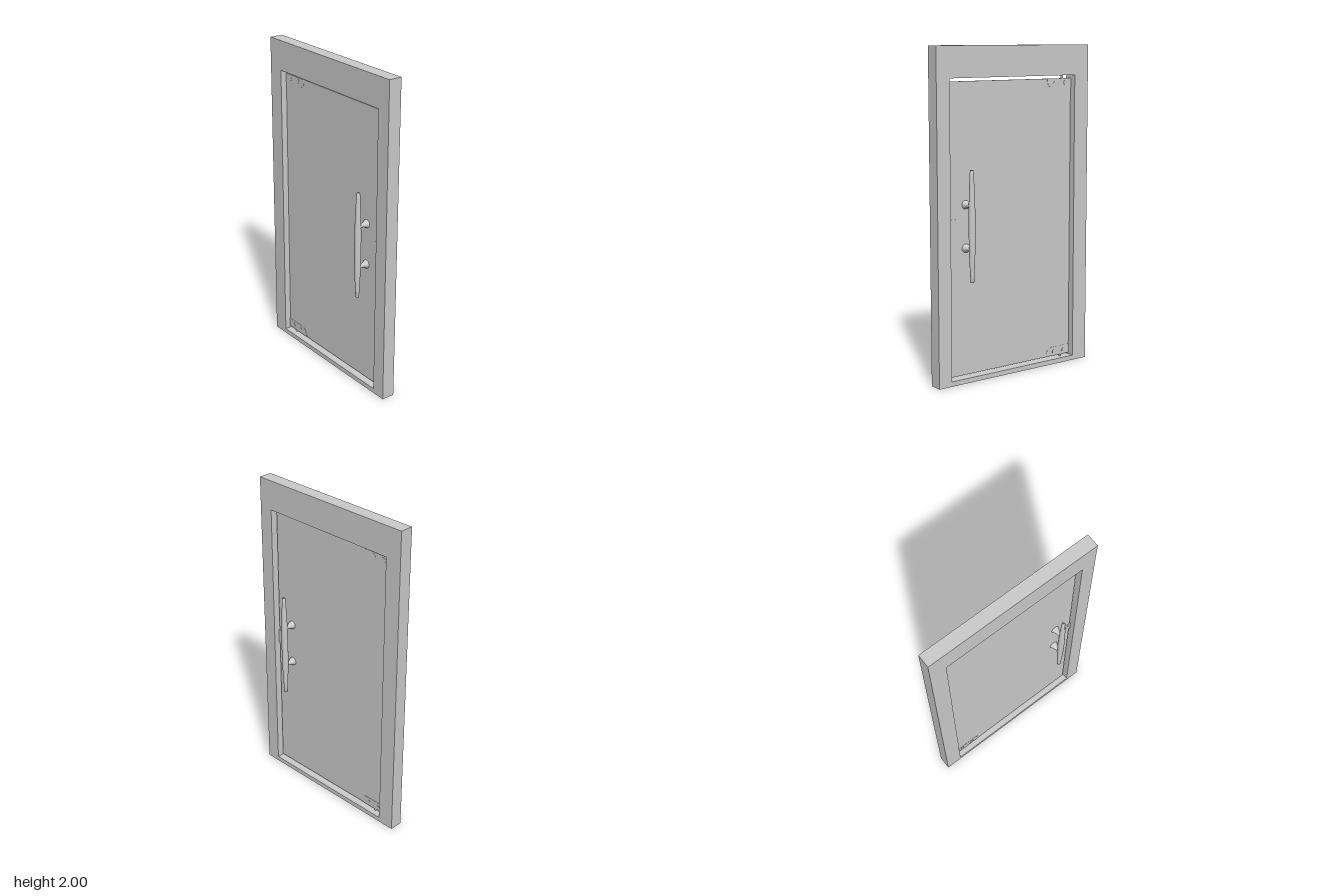
import * as THREE from 'three';

const material = new THREE.MeshStandardMaterial({ color: 0xcccccc, roughness: 0.6 });

function addMesh(parent, name, geometry) {
  const mesh = new THREE.Mesh(geometry, material);
  mesh.name = name;
  parent.add(mesh);
  return mesh;
}

// Outline drawn in (z, y), given thickness across x
function plate(shape, thickness) {
  const geometry = new THREE.ExtrudeGeometry(shape, { depth: thickness, bevelEnabled: false, curveSegments: 10 });
  geometry.translate(0, 0, -thickness / 2);
  return geometry.rotateY(-Math.PI / 2);
}

function rectangle(z0, z1, y0, y1, Type = THREE.Shape) {
  return new Type([[z0, y0], [z1, y0], [z1, y1], [z0, y1]].map(([z, y]) => new THREE.Vector2(z, y)));
}

// Round screw head passing through a fitting, seen on both faces
function addScrew(parent, z, y, radius) {
  const screw = addMesh(parent, 'screw', new THREE.CylinderGeometry(radius, radius, 0.019, 20));
  screw.rotation.z = Math.PI / 2;
  screw.position.set(0, y, z);
}

// Corner hinge with one rounded corner; edge is the glass edge, dir points into the pane
function addHinge(parent, name, edge, dir) {
  const hinge = new THREE.Group();
  hinge.name = name;
  const shape = new THREE.Shape();
  shape.moveTo(-0.452, edge);
  shape.lineTo(-0.265, edge);
  shape.lineTo(-0.265, edge + dir * 0.012);
  shape.quadraticCurveTo(-0.27, edge + dir * 0.05, -0.31, edge + dir * 0.057);
  shape.lineTo(-0.452, edge + dir * 0.057);
  addMesh(hinge, 'hingePlate', plate(shape, 0.016));
  for (const z of [-0.33, -0.408]) addScrew(hinge, z, edge + dir * 0.024, 0.015);
  const pivot = addMesh(hinge, 'pivotPin', new THREE.CylinderGeometry(0.007, 0.007, 0.03, 16));
  pivot.position.set(0, edge - dir * 0.01, -0.385);
  parent.add(hinge);
}

// Tapered vertical bar on two flared standoffs
function addHandle(parent, name, side) {
  const handle = new THREE.Group();
  handle.name = name;
  const taper = [[0, -0.333], [0.011, -0.333], [0.0125, -0.29], [0.017, -0.2], [0.0195, -0.1], [0.0205, 0],
    [0.0195, 0.1], [0.017, 0.2], [0.0125, 0.29], [0.011, 0.333], [0, 0.333]];
  const bar = addMesh(handle, 'handleBar', new THREE.LatheGeometry(taper.map(p => new THREE.Vector2(...p)), 28));
  bar.position.set(side * 0.073, 0.952, 0.343);
  const flare = [[0.026, 0], [0.026, 0.006], [0.02, 0.016], [0.014, 0.028], [0.012, 0.04], [0.012, 0.066]];
  for (const y of [0.815, 1.075]) {
    const post = addMesh(handle, 'standoff', new THREE.LatheGeometry(flare.map(p => new THREE.Vector2(...p)), 24));
    post.rotation.z = -side * Math.PI / 2;
    post.position.set(side * 0.005, y, 0.343);
  }
  parent.add(handle);
}

export function createModel() {
  const model = new THREE.Group();
  model.name = 'glassDoor';

  // Surrounding frame with its opening
  const outline = rectangle(-0.56, 0.56, 0, 2);
  outline.holes.push(rectangle(-0.455, 0.47, 0.03, 1.815, THREE.Path));
  addMesh(model, 'frame', plate(outline, 0.083));

  // Pane, held clear of the frame all round
  addMesh(model, 'glassPane', plate(rectangle(-0.449, 0.46, 0.043, 1.795), 0.013));

  addHinge(model, 'topHinge', 1.793, -1);
  addHinge(model, 'bottomHinge', 0.043, 1);

  // Lock fitting on the opening edge
  const lock = new THREE.Group();
  lock.name = 'lock';
  addMesh(lock, 'lockPlate', plate(rectangle(0.414, 0.468, 0.908, 0.993), 0.016));
  addScrew(lock, 0.443, 0.953, 0.012);
  model.add(lock);

  // Matching handles on both faces
  addHandle(model, 'leftHandle', 1);
  addHandle(model, 'rightHandle', -1);
  return model;
}
